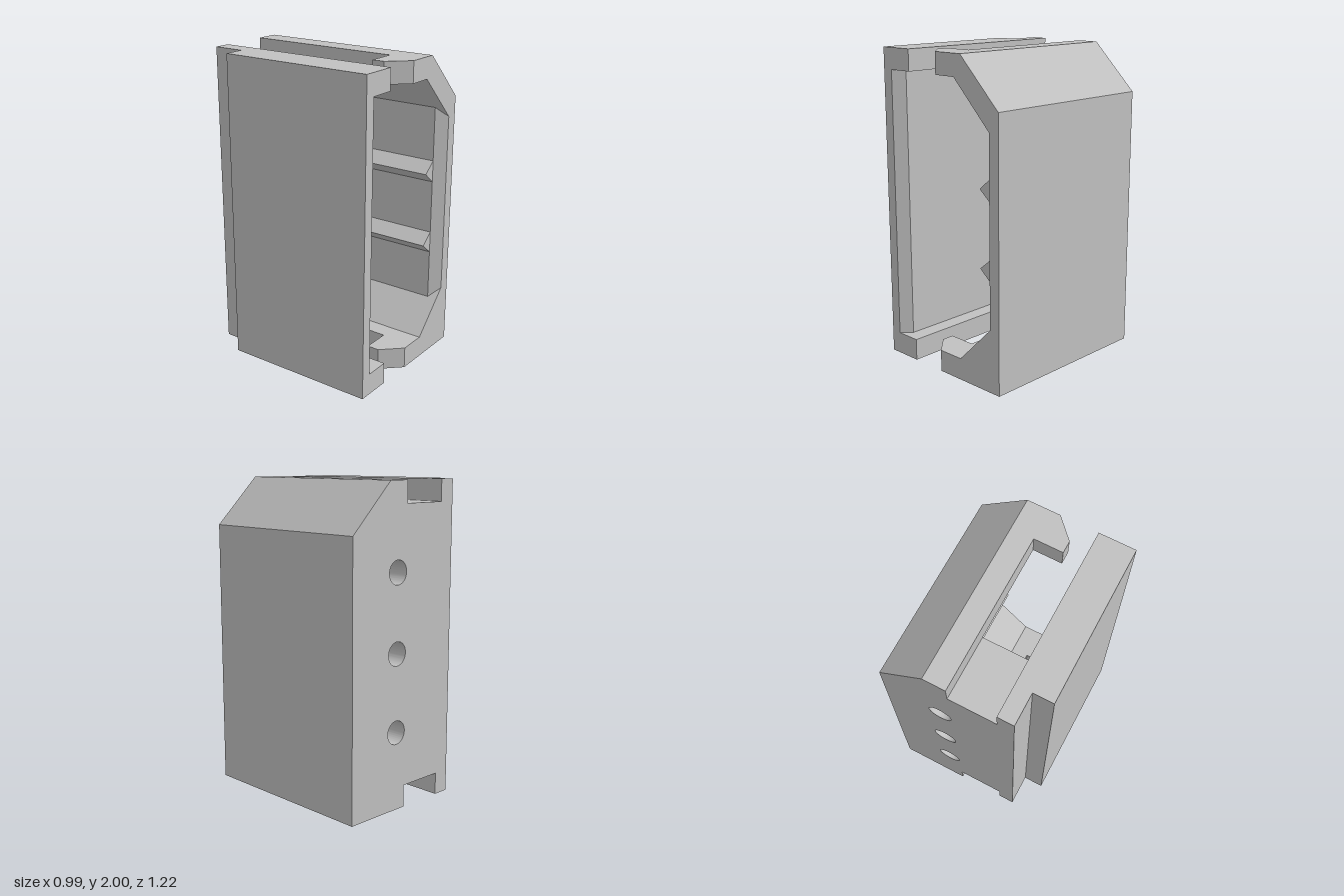
import * as THREE from 'three';
import { mergeGeometries, toCreasedNormals } from 'three/addons/utils/BufferGeometryUtils.js';

const X = 0.495, TOP = 2;                 // outer half width, height
const SLOT = [-0.26, 0.045];              // slot edges in top and bottom walls
const LOW = 0.14, HIGH = 1.865;           // cavity floor and ceiling
const IN = [-0.365, 0.36];                // cavity side walls
const Z = { back: -0.61, step: -0.405, plate: -0.205, lip: 0.545, front: 0.61 };

const shapeOf = (pts) => new THREE.Shape(pts.map(([x, y]) => new THREE.Vector2(x, y)));

// Extrude along z from z0 to z1, keeping only the requested end caps
function prism(shape, z0, z1, caps = '') {
  const depth = z1 - z0;
  const g = new THREE.ExtrudeGeometry(shape, { depth, bevelEnabled: false, curveSegments: 36 });
  const src = g.attributes.position, out = [];
  for (let i = 0; i < src.count; i += 3) {
    const z = [0, 1, 2].map((k) => src.getZ(i + k));
    if (!caps.includes('b') && z.every((v) => v < 1e-5)) continue;
    if (!caps.includes('f') && z.every((v) => v > depth - 1e-5)) continue;
    for (let k = 0; k < 3; k++) out.push(src.getX(i + k), src.getY(i + k), z[k] + z0);
  }
  return new THREE.BufferGeometry().setAttribute('position', new THREE.Float32BufferAttribute(out, 3));
}

// Flat face at depth z, facing the front or the back
function face(shape, z, toBack = false) {
  const g = new THREE.ShapeGeometry(shape, 36).toNonIndexed();
  g.deleteAttribute('uv');
  g.deleteAttribute('normal');
  if (toBack) {
    const p = g.attributes.position;
    for (let i = 0; i < p.count; i += 3) {
      const x = p.getX(i), y = p.getY(i);
      p.setXY(i, p.getX(i + 1), p.getY(i + 1));
      p.setXY(i + 1, x, y);
    }
  }
  return g.translate(0, 0, z);
}

// Flare the cavity wall outward at the front edge
function flare(g) {
  const p = g.attributes.position;
  for (let i = 0; i < p.count; i++) {
    if (p.getZ(i) < Z.front - 1e-4) continue;
    const x = p.getX(i), y = p.getY(i);
    if (Math.abs(x - IN[0]) < 1e-4) p.setX(i, x - 0.06);
    if (Math.abs(x - IN[1]) < 1e-4) p.setXY(i, x + 0.06, y + (y > 1 ? -0.06 : 0.06));
  }
  return g;
}

function addHoles(shape) {
  for (const y of [0.493, 0.98, 1.467]) {
    shape.holes.push(new THREE.Path().absarc(0.12, y, 0.074, 0, Math.PI * 2, true));
  }
  return shape;
}

export function createModel() {
  const group = new THREE.Group();
  const grey = new THREE.MeshStandardMaterial({ color: 0xc0c0c0 });
  grey.name = 'grey';
  const add = (name, ...parts) => {
    const mesh = new THREE.Mesh(toCreasedNormals(mergeGeometries(parts), 0.5), grey);
    mesh.name = name;
    group.add(mesh);
  };

  // Back plate, notched top and bottom, stepped in at one rear corner
  const plate = (left) => addHoles(shapeOf([
    [left, 0], [SLOT[0], 0], [SLOT[0], LOW], [SLOT[1], LOW], [SLOT[1], 0], [X, 0], [X, 1.7],
    [0.19, TOP], [SLOT[1], TOP], [SLOT[1], HIGH], [SLOT[0], HIGH], [SLOT[0], TOP], [left, TOP],
  ]));
  const cavity = addHoles(shapeOf([
    [IN[0], LOW], [0.16, LOW], [IN[1], 0.34], [IN[1], 1.64], [0.135, HIGH], [IN[0], HIGH],
  ]));
  const corner = shapeOf([[-X, 0], [IN[0], 0], [IN[0], TOP], [-X, TOP]]);
  add('backPlate',
    prism(plate(IN[0]), Z.back, Z.step, 'b'),
    prism(plate(-X), Z.step, Z.plate),
    face(corner, Z.step, true),
    face(cavity, Z.plate));

  // Two channel-shaped side walls with flared front lips
  const rightRail = shapeOf([
    [-X, 0], [SLOT[0], 0], [SLOT[0], LOW], [IN[0], LOW],
    [IN[0], HIGH], [SLOT[0], HIGH], [SLOT[0], TOP], [-X, TOP],
  ]);
  const leftWall = shapeOf([
    [SLOT[1], 0], [X, 0], [X, 1.7], [0.19, TOP], [SLOT[1], TOP], [SLOT[1], HIGH],
    [0.135, HIGH], [IN[1], 1.64], [IN[1], 0.34], [0.16, LOW], [SLOT[1], LOW],
  ]);
  for (const [name, shape] of [['rightRail', rightRail], ['leftWall', leftWall]]) {
    add(name, prism(shape, Z.plate, Z.lip), flare(prism(shape, Z.lip, Z.front, 'f')));
  }

  // Chamfered hooks closing the slot at the front, bottom and top
  const hook = shapeOf([
    [SLOT[1], -0.405], [-0.14, -0.405], [-0.14, -0.485], [-0.02, -Z.front], [SLOT[1], -Z.front],
  ]);
  for (const [name, y0, y1] of [['bottomHook', 0, LOW], ['topHook', HIGH, TOP]]) {
    add(name, prism(hook, y0, y1, 'bf').rotateX(-Math.PI / 2));
  }

  // Pointed ridges along the inner wall
  for (const y of [0.735, 1.222]) {
    const ridge = shapeOf([[IN[1], y - 0.07], [IN[1], y + 0.07], [0.275, y]]);
    add('gripRidge', prism(ridge, Z.plate, Z.lip, 'f'));
  }
  return group;
}
